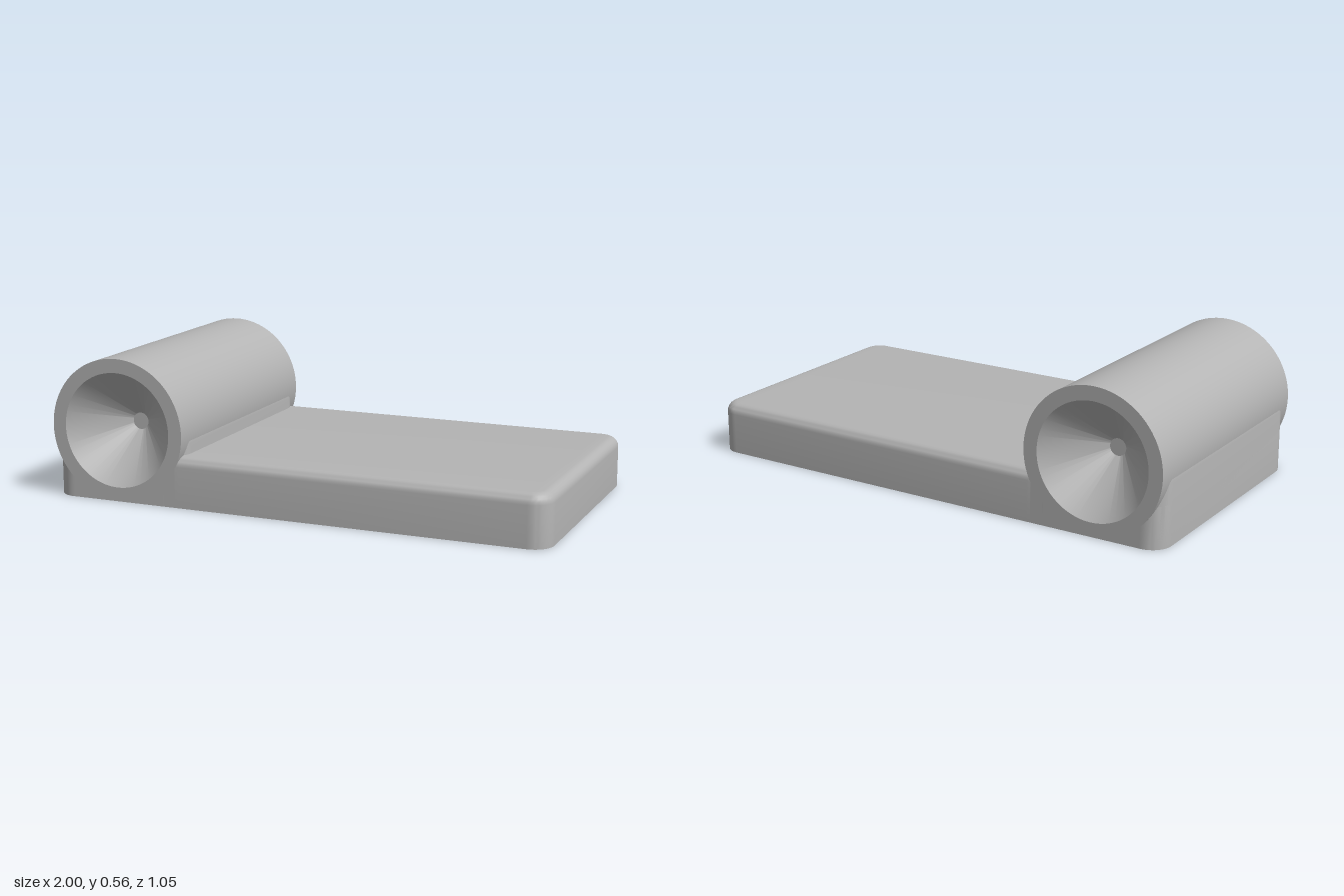
import * as THREE from 'three';
import { toCreasedNormals } from 'three/addons/utils/BufferGeometryUtils.js';

const HALF = 0.525;                 // half depth of the whole model
const CX = -0.72, CY = 0.28, R = 0.28; // barrel axis and radius
const CORNER = 0.08, FILLET = 0.04;

// Underside of the barrel: bodies below it stop here so the cones stay open
function limit(x) {
  const r = R - 0.003, d = x - CX;
  return Math.abs(d) < r ? CY - Math.sqrt(r * r - d * d) : Infinity;
}

// Block with rounded upright corners, filleted top and sharp bottom edge
function saddleBlock(x0, x1, height) {
  // front half of the outline: position and outward direction
  const half = [];
  const corner = (cx, from) => {
    for (let i = 0; i <= 12; i++) {
      const a = from - (i / 12) * Math.PI / 2;
      const nx = Math.cos(a), nz = Math.sin(a);
      half.push([cx + CORNER * nx, HALF - CORNER + CORNER * nz, nx, nz]);
    }
  };
  corner(x0 + CORNER, Math.PI);
  for (let i = 1; i < 90; i++) {
    const x = CX - R * Math.cos((i / 90) * Math.PI);
    if (x > x0 + CORNER + 0.001 && x < x1 - CORNER - 0.001) half.push([x, HALF, 0, 1]);
  }
  corner(x1 - CORNER, Math.PI / 2);
  const back = half.map(([x, z, nx, nz]) => [x, -z, nx, -nz]).reverse();
  const loop = [...half, ...back];
  const n = loop.length;

  // layers of [height, inset]
  const layers = [[0, 0]];
  for (let i = 0; i <= 6; i++) {
    const a = (i / 6) * Math.PI / 2;
    layers.push([height - FILLET + FILLET * Math.sin(a), FILLET * (1 - Math.cos(a))]);
  }
  const pos = [], idx = [];
  for (const [y, inset] of layers) {
    for (const [x, z, nx, nz] of loop) {
      const px = x - nx * inset;
      pos.push(px, Math.min(y, limit(px)), z - nz * inset);
    }
  }
  const quad = (a, b, c, d) => idx.push(a, b, c, a, c, d);
  for (let j = 0; j < layers.length - 1; j++) {
    for (let i = 0; i < n; i++) {
      const k = (i + 1) % n;
      quad(j * n + i, j * n + k, (j + 1) * n + k, (j + 1) * n + i);
    }
  }
  // top and bottom as strips from front to back
  const t = (layers.length - 1) * n;
  for (let i = 0; i < half.length - 1; i++) {
    const m = n - 1 - i;
    quad(t + i, t + i + 1, t + m - 1, t + m);
    quad(m, m - 1, i + 1, i);
  }
  const g = new THREE.BufferGeometry();
  g.setAttribute('position', new THREE.Float32BufferAttribute(pos, 3));
  g.setIndex(idx);
  return toCreasedNormals(g, 0.6);
}

export function createModel() {
  const group = new THREE.Group();
  const grey = new THREE.MeshStandardMaterial({ color: 0xb4b4b4 });
  grey.name = 'grey';
  const add = (name, geometry) => {
    const mesh = new THREE.Mesh(geometry, grey);
    mesh.name = name;
    group.add(mesh);
    return mesh;
  };

  add('basePlate', saddleBlock(-1, 1, 0.2));
  add('barrelSaddle', saddleBlock(-1, CX + R, 0.28));

  // Barrel with a blunt conical recess in each end
  const profile = [
    [0, -0.333], [0.033, -0.333], [0.225, -HALF], [R, -HALF],
    [R, HALF], [0.225, HALF], [0.033, 0.333], [0, 0.333],
  ].map(([r, y]) => new THREE.Vector2(r, y));
  const barrel = new THREE.LatheGeometry(profile, 96);
  barrel.rotateX(Math.PI / 2);
  add('barrel', toCreasedNormals(barrel, 0.6)).position.set(CX, CY, 0);

  return group;
}
